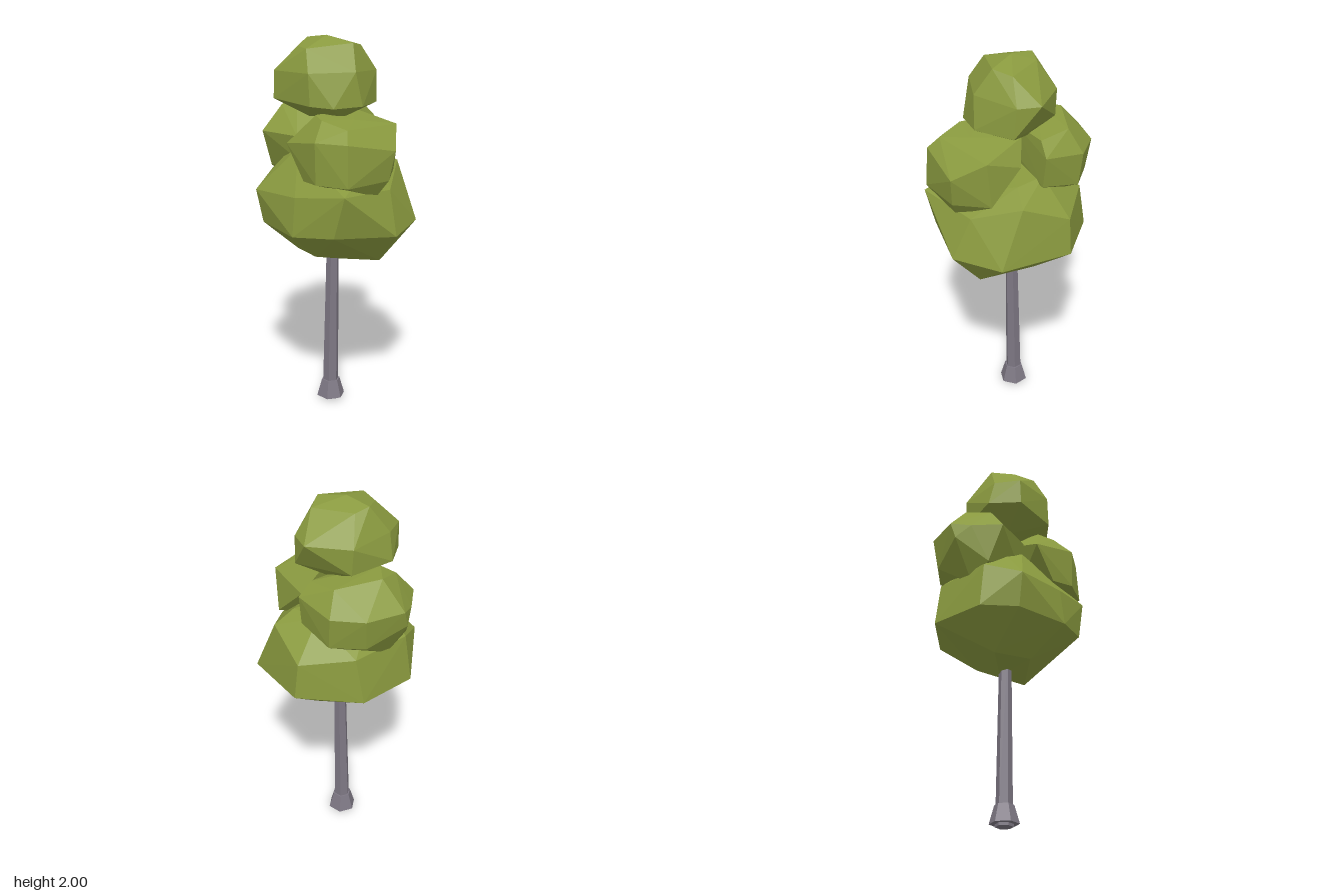
import * as THREE from 'three';
import { ConvexGeometry } from 'three/addons/geometries/ConvexGeometry.js';

const leafGreen = new THREE.MeshStandardMaterial({ color: 0x8a9a3f, flatShading: true });
leafGreen.name = 'leafGreen';
const barkGrey = new THREE.MeshStandardMaterial({ color: 0x7e7884, flatShading: true });
barkGrey.name = 'barkGrey';

// Each leaf clump is a faceted boulder: the hull of a few rings of corners [x, y, z].
const clumps = {
  lowerFoliage: [
    [0, 0.81, 0], [-0.2, 0.85, 0.08], [0, 0.87, 0.18], [0.28, 0.86, 0], [0.02, 0.88, -0.15],
    [-0.39, 1.03, 0.1], [-0.28, 1.03, 0.265], [0.01, 1.03, 0.378], [0.25, 1.06, 0.35],
    [0.42, 1.03, 0.055], [0.355, 1.04, -0.225], [0.01, 1.05, -0.38], [-0.3, 1.04, -0.22],
    [0.315, 1.28, 0.35], [-0.35, 1.28, 0.1], [-0.3, 1.21, 0.295], [0.01, 1.23, 0.355],
    [0, 1.24, -0.36], [-0.25, 1.28, -0.22], [0.22, 1.34, -0.24], [0.34, 1.25, 0],
    [-0.1, 1.44, 0.19], [-0.21, 1.39, 0.15], [0, 1.41, 0.2],
    [0.16, 1.41, -0.15], [0, 1.42, -0.18], [-0.2, 1.38, -0.05],
  ],
  leftFoliage: [
    [0.04, 1.63, 0.22], [0.2, 1.61, 0.12], [0.12, 1.62, 0.275], [0.27, 1.59, 0.27], [0.05, 1.62, -0.08],
    [0.15, 1.53, 0.37], [-0.1, 1.48, 0.28], [0.31, 1.53, 0.32], [0.41, 1.47, 0.06],
    [0.31, 1.57, -0.09], [0.12, 1.5, -0.14], [0.15, 1.32, 0.365], [0.32, 1.32, 0.33],
    [0.385, 1.32, 0.08], [0.29, 1.33, -0.1], [0.03, 1.31, 0.31], [0.33, 1.235, 0.11],
    [0.08, 1.3, 0.05],
  ],
  rightFoliage: [
    [-0.13, 1.65, -0.23], [-0.29, 1.67, -0.05], [-0.22, 1.675, 0.05], [0.03, 1.63, -0.19],
    [-0.28, 1.63, 0.1], [-0.05, 1.62, 0.05],
    [-0.155, 1.53, -0.31], [-0.315, 1.53, -0.235], [-0.425, 1.53, -0.06], [-0.4, 1.5, 0.05],
    [-0.33, 1.5, 0.2], [-0.1, 1.5, 0.2], [0.06, 1.56, -0.25],
    [-0.14, 1.36, -0.295], [-0.3, 1.36, -0.21], [-0.425, 1.44, -0.03], [-0.34, 1.3, 0.12],
    [-0.1, 1.36, 0.17], [0.06, 1.4, -0.23], [-0.3, 1.22, 0], [-0.1, 1.27, -0.1],
  ],
  topFoliage: [
    [-0.025, 2, 0.05], [-0.16, 1.98, 0.035], [0.13, 1.97, 0.035], [-0.015, 1.95, 0.225],
    [-0.12, 1.95, 0.16], [-0.12, 1.96, -0.03], [0.1, 1.95, -0.07],
    [0.04, 1.84, 0.28], [-0.21, 1.83, 0.24], [-0.24, 1.84, 0.1],
    [0.195, 1.84, 0.1], [0.05, 1.82, -0.21], [-0.17, 1.82, -0.12], [0.15, 1.82, -0.14],
    [0.05, 1.68, 0.28], [-0.21, 1.69, 0.245], [-0.27, 1.7, 0.08], [0.22, 1.67, 0.075],
    [0.15, 1.67, 0.22], [0.16, 1.66, -0.13], [-0.16, 1.68, -0.12],
    [-0.1, 1.59, 0.1], [0.1, 1.6, 0.1], [0, 1.61, -0.07],
  ],
};

export function createModel() {
  const group = new THREE.Group();
  group.name = 'tree';

  for (const [name, corners] of Object.entries(clumps)) {
    const points = corners.map((c) => new THREE.Vector3(...c));
    const clump = new THREE.Mesh(new ConvexGeometry(points), leafGreen);
    clump.name = name;
    group.add(clump);
  }

  // Six-sided tapered bark section between two heights
  const addBark = (name, rTop, rBottom, y0, y1) => {
    const geo = new THREE.CylinderGeometry(rTop, rBottom, y1 - y0, 6);
    geo.rotateY(0.4);
    const mesh = new THREE.Mesh(geo, barkGrey);
    mesh.name = name;
    mesh.position.set(-0.015, (y0 + y1) / 2, 0.033);
    group.add(mesh);
    return mesh;
  };
  addBark('rootFoot', 0.047, 0.047, 0, 0.03);
  addBark('rootFlare', 0.05, 0.077, 0.015, 0.11);
  const trunk = addBark('trunk', 0.032, 0.043, 0.1, 0.95);

  // The trunk leans slightly to its left as it rises
  const pos = trunk.geometry.attributes.position;
  for (let i = 0; i < pos.count; i++) {
    pos.setX(i, pos.getX(i) + 0.016 * (pos.getY(i) / 0.85 + 0.5));
  }
  trunk.geometry.computeVertexNormals();
  return group;
}
